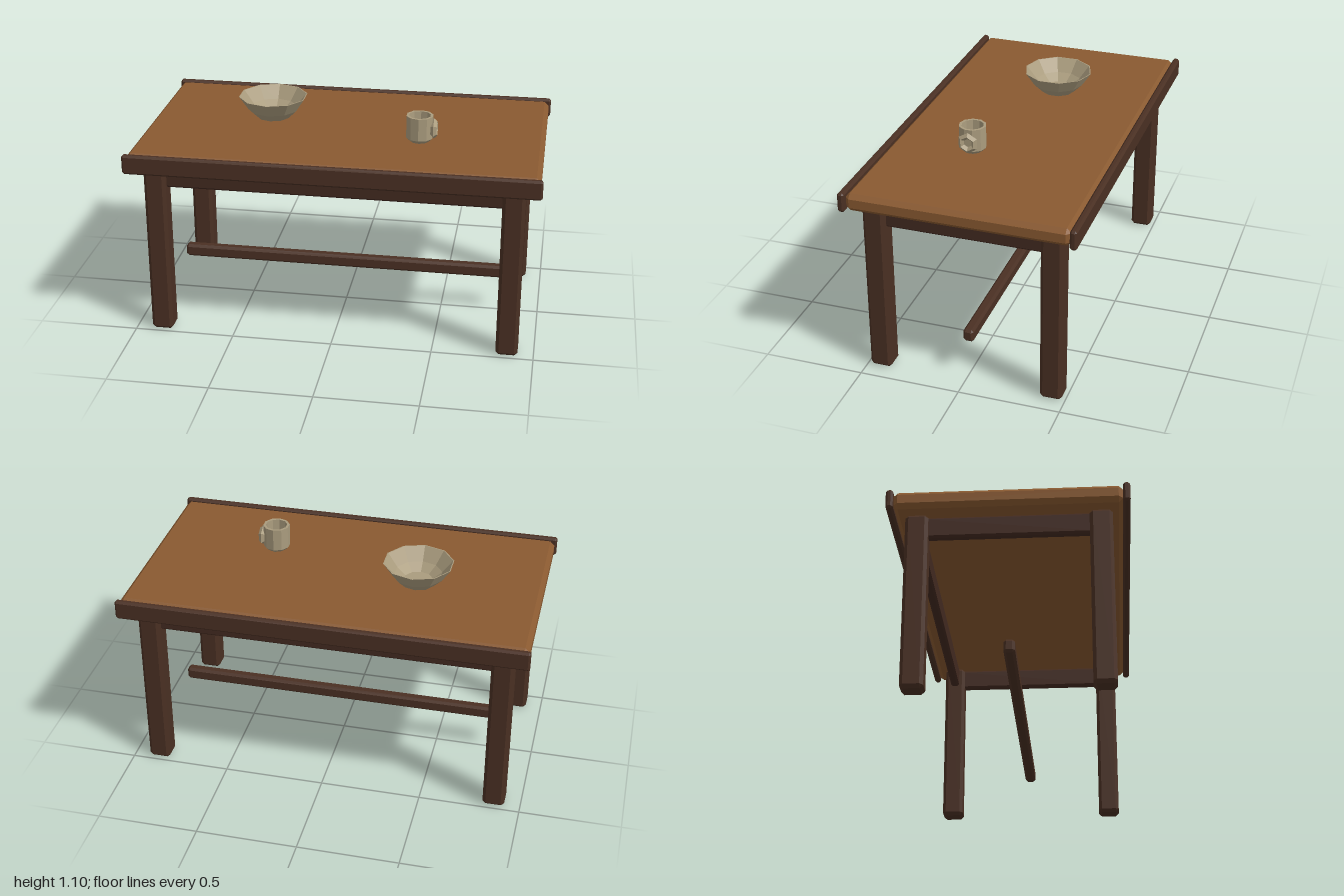
import * as THREE from 'three';
import { ConvexGeometry } from 'three/addons/geometries/ConvexGeometry.js';

const mat = (color) => new THREE.MeshStandardMaterial({ color, flatShading: true });

// Box with every edge chamfered by c
function chamferBox(w, h, d, c) {
  const half = [w / 2, h / 2, d / 2];
  const points = [];
  for (const sx of [-1, 1]) for (const sy of [-1, 1]) for (const sz of [-1, 1]) {
    for (let axis = 0; axis < 3; axis++) {
      const [x, y, z] = half.map((v, i) => (i === axis ? v : v - c));
      points.push(new THREE.Vector3(sx * x, sy * y, sz * z));
    }
  }
  return new ConvexGeometry(points);
}

// Ten-sided turned vessel; profile runs up the outside and down the inside
const vessel = (profile) => new THREE.LatheGeometry(profile.map(([r, y]) => new THREE.Vector2(r, y)), 10);

export function createModel() {
  const model = new THREE.Group();
  const darkWood = mat(0x4a3023);
  const apronWood = mat(0x432a20);
  const topWood = mat(0x8a5a31);
  const ceramic = mat(0xaa9c7e);

  function add(name, geometry, material, x, y, z, parent = model) {
    const mesh = new THREE.Mesh(geometry, material);
    mesh.name = name;
    mesh.position.set(x, y, z);
    parent.add(mesh);
    return mesh;
  }

  // Table top with a raised edge rail on each long side
  add('tableTop', chamferBox(1.98, 0.088, 1.07, 0.022), topWood, 0, 0.925, 0);
  for (const s of [1, -1]) {
    add(s > 0 ? 'frontRail' : 'backRail', chamferBox(2, 0.097, 0.034, 0.01), darkWood, 0, 0.925, s * 0.55);
  }

  // Legs
  for (const sx of [1, -1]) for (const sz of [1, -1]) {
    const name = (sz > 0 ? 'front' : 'back') + (sx > 0 ? 'Left' : 'Right') + 'Leg';
    add(name, chamferBox(0.108, 0.882, 0.108, 0.016), darkWood, sx * 0.868, 0.441, sz * 0.43);
  }

  // Aprons between the legs
  for (const s of [1, -1]) {
    add(s > 0 ? 'frontApron' : 'backApron', chamferBox(1.68, 0.107, 0.045, 0.01), apronWood, 0, 0.826, s * 0.43);
    add(s > 0 ? 'leftApron' : 'rightApron', chamferBox(0.045, 0.107, 0.8, 0.01), apronWood, s * 0.868, 0.826, 0);
  }

  // Low centre stretcher
  add('stretcher', chamferBox(1.71, 0.065, 0.053, 0.012), darkWood, 0, 0.223, 0);

  // Bowl
  add('bowl', vessel([
    [0, 0], [0.085, 0], [0.128, 0.042], [0.174, 0.11],
    [0.169, 0.11], [0.118, 0.048], [0.072, 0.014], [0, 0.014],
  ]), ceramic, -0.385, 0.981, -0.06);

  // Mug with a ring handle on its side
  const mug = new THREE.Group();
  mug.name = 'mug';
  mug.position.set(0.382, 0.968, 0.132);
  model.add(mug);
  add('mugBody', vessel([
    [0, 0], [0.046, 0], [0.067, 0.02], [0.067, 0.133],
    [0.054, 0.133], [0.05, 0.03], [0.042, 0.016], [0, 0.016],
  ]), ceramic, 0, 0, 0, mug);
  const ring = new THREE.TorusGeometry(0.037, 0.016, 4, 6).rotateZ(Math.PI / 6).rotateY(Math.PI / 2);
  add('mugHandle', ring, ceramic, 0.07, 0.068, 0, mug);

  return model;
}
